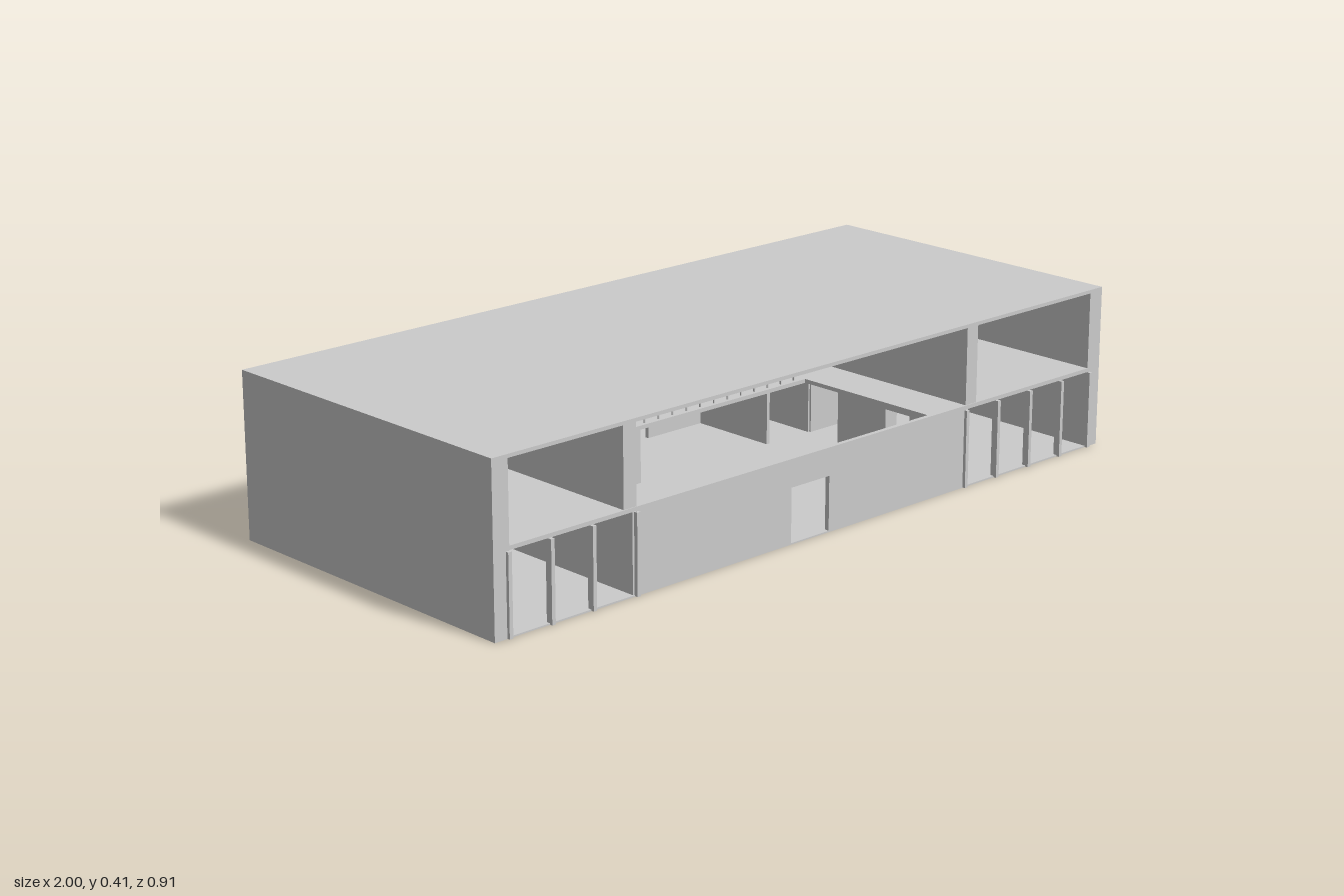
import * as THREE from 'three';

const material = new THREE.MeshStandardMaterial({ color: 0xcccccc, side: THREE.DoubleSide });

export function createModel() {
  const model = new THREE.Group();
  model.name = 'building';

  // Box given by its limits on each axis
  function box(name, x0, x1, y0, y1, z0, z1, parent = model) {
    const mesh = new THREE.Mesh(new THREE.BoxGeometry(x1 - x0, y1 - y0, z1 - z0), material);
    mesh.position.set((x0 + x1) / 2, (y0 + y1) / 2, (z0 + z1) / 2);
    mesh.name = name;
    parent.add(mesh);
    return mesh;
  }

  // Wall along x or z, split around openings [start, end, sill, head] sorted by start
  function wall(name, axis, at, thick, from, to, y0, y1, openings = []) {
    const group = new THREE.Group();
    group.name = name;
    model.add(group);
    const piece = (a, b, low, high) => {
      if (b - a < 1e-4 || high - low < 1e-4) return;
      if (axis === 'x') box('wallPanel', a, b, low, high, at - thick / 2, at + thick / 2, group);
      else box('wallPanel', at - thick / 2, at + thick / 2, low, high, a, b, group);
    };
    let cursor = from;
    for (const [a, b, sill, head] of openings) {
      piece(cursor, a, y0, y1);
      piece(a, b, y0, sill);
      piece(a, b, head, y1);
      cursor = b;
    }
    piece(cursor, to, y0, y1);
  }

  const G0 = 0.004, G1 = 0.2, U0 = 0.21, U1 = 0.406, D = 0.445;

  // Ground slab, roof and thick end walls
  box('groundSlab', -1, 1, 0, G0, -D, D);
  box('roof', -1, 1, U1, 0.415, -D, D);
  for (const s of [-1, 1]) {
    const edges = [s, s * 0.955].sort((a, b) => a - b);
    box('endWall', edges[0], edges[1], G0, U1, -D, D);
  }

  // Upper floor, open over the entrance hall
  box('upperFloorBack', -0.955, 0.955, G1, U0, -D, 0.02);
  box('upperFloorLeftWing', 0.37, 0.955, G1, U0, 0.02, D);
  box('upperFloorRightWing', -0.955, -0.59, G1, U0, 0.02, D);

  // Entrance wall with doorway
  wall('entranceWall', 'x', D - 0.006, 0.012, -0.59, 0.495, G0, U0, [[-0.105, 0.02, G0, 0.14]]);

  // Upper partitions with doorways near the back
  for (const x of [-0.607, 0.515]) {
    wall('upperPartition', 'z', x, 0.038, -D + 0.002, D - 0.002, U0, U1, [[-0.34, -0.27, U0, U0 + 0.14]]);
  }

  // Lower cross walls beside the hall
  wall('hallSideWall', 'z', -0.595, 0.01, 0.02, D - 0.002, G0, G1);
  wall('hallSideWall', 'z', 0.5, 0.01, 0.02, D - 0.002, G0, G1, [[0.18, 0.26, G0, 0.14]]);

  // Lower long walls: front rooms, back rooms and the hall screen
  const through = [[0.71, 0.83, G0, 0.14]];
  wall('frontRoomWall', 'x', 0.015, 0.01, 0.5, 0.955, G0, G1, through);
  wall('frontRoomWall', 'x', 0.015, 0.01, -0.955, -0.595, G0, G1);
  wall('backRoomWall', 'x', -0.12, 0.01, 0.53, 0.955, G0, G1, through);
  wall('backRoomWall', 'x', -0.12, 0.01, -0.955, -0.59, G0, G1);
  wall('hallScreen', 'x', -0.12, 0.01, -0.59, -0.065, G0, G1,
    [[-0.47, -0.42, G0, 0.14], [-0.29, -0.085, 0.06, 0.14]]);
  wall('rearLobbyWall', 'x', -0.37, 0.01, -0.065, 0.38, G0, G1, [[0.13, 0.19, G0, 0.14]]);

  // Lower back partitions
  for (const x of [-0.59, -0.47, -0.35, -0.25, -0.07, 0.38, 0.53]) {
    wall('backPartition', 'z', x, 0.01, -D + 0.002, -0.12, G0, G1);
  }

  // Window posts standing slightly proud of both long sides
  const frontPosts = [-0.96, -0.84, -0.72, -0.59, 0.495, 0.61, 0.73, 0.85, 0.96];
  const backPosts = [-0.96, -0.84, -0.72, -0.59, -0.47, -0.35, 0.53, 0.64, 0.75, 0.85, 0.96];
  for (const x of frontPosts) box('frontWindowPost', x - 0.005, x + 0.005, 0.001, G1 - 0.001, 0.435, 0.453);
  for (const x of backPosts) box('backWindowPost', x - 0.005, x + 0.005, 0.001, G1 - 0.001, -0.453, -0.435);

  // Gallery railing over the hall
  const railing = new THREE.Group();
  railing.name = 'galleryRailing';
  model.add(railing);
  box('handrail', -0.585, 0.345, 0.259, 0.263, 0.006, 0.012, railing);
  for (let i = 0; i <= 20; i++) {
    const x = -0.58 + i * 0.046;
    box('railingPost', x - 0.0015, x + 0.0015, U0, 0.26, 0.007, 0.011, railing);
  }

  return model;
}
